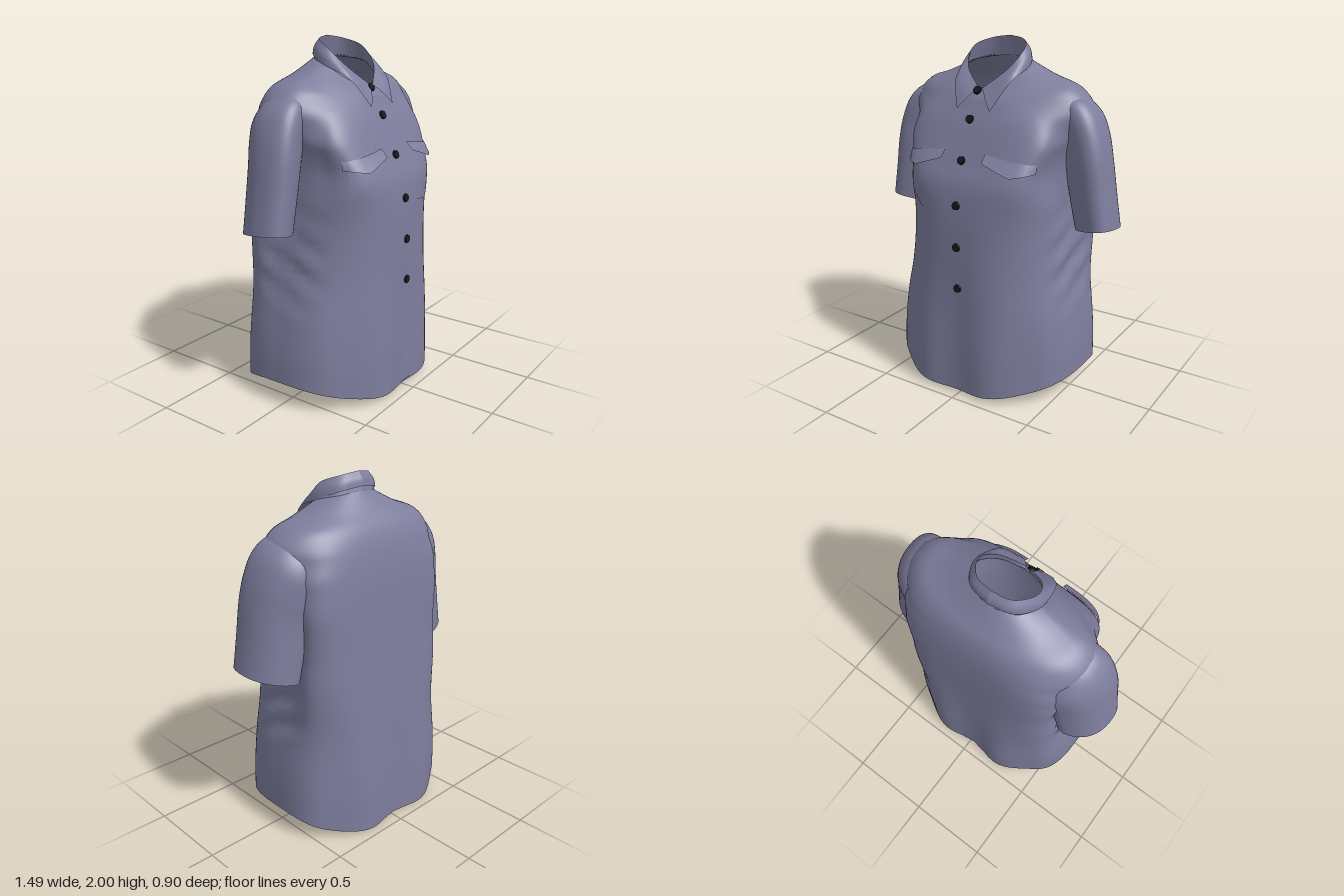
import * as THREE from 'three';

const V = (x, y, z) => new THREE.Vector3(x, y, z);
const { lerp, smoothstep } = THREE.MathUtils;
const fabric = new THREE.MeshStandardMaterial({ color: 0x7d7d9d, side: THREE.DoubleSide });
fabric.name = 'slate fabric';
const buttonBlack = new THREE.MeshStandardMaterial({ color: 0x18181c });
buttonBlack.name = 'button black';

// Smooth sheet through rows of points; closed rows join end to start
function loft(rows, steps, closed, adjust) {
  const n = rows[0].length, pos = [], idx = [];
  const columns = rows[0].map((_, j) => new THREE.CatmullRomCurve3(rows.map(r => r[j])));
  for (let i = 0; i <= steps; i++) {
    for (const column of columns) {
      const p = column.getPoint(i / steps);
      if (adjust) adjust(p);
      pos.push(p.x, p.y, p.z);
    }
  }
  for (let i = 0; i < steps; i++) {
    for (let j = 0; j < (closed ? n : n - 1); j++) {
      const a = i * n + j, b = i * n + (j + 1) % n;
      idx.push(a, a + n, b, b, a + n, b + n);
    }
  }
  const g = new THREE.BufferGeometry();
  g.setAttribute('position', new THREE.Float32BufferAttribute(pos, 3));
  g.setIndex(idx);
  g.computeVertexNormals();
  return g;
}

function part(geometry, name, material = fabric) {
  const m = new THREE.Mesh(geometry, material);
  m.name = name;
  return m;
}

const power = (v, e) => Math.sign(v) * Math.abs(v) ** e;

// Torso rings: half width, front z, back z, y at side, front and back,
// squareness of front and back, curve of the y change
const torsoRings = [
  [.585, .45, -.437, .135, .02, 0, 2.4, 3, 2.5],
  [.577, .447, -.43, .3, .25, .25, 2.4, 3.1, 2],
  [.55, .44, -.415, .5, .48, .48, 2.4, 3.3, 2],
  [.505, .435, -.40, .7, .7, .7, 2.4, 3.7, 1],
  [.475, .43, -.385, .9, .9, .9, 2.5, 4.2, 1],
  [.455, .42, -.372, 1.1, 1.1, 1.1, 2.9, 4.6, 1],
  [.462, .40, -.362, 1.27, 1.25, 1.27, 4, 4.8, 1.2],
  [.485, .36, -.352, 1.42, 1.35, 1.4, 4.6, 4.6, 1.2],
  [.525, .32, -.337, 1.54, 1.45, 1.53, 4, 4.2, 1.2],
  [.555, .275, -.315, 1.65, 1.56, 1.64, 3.4, 3.6, 1.2],
  [.47, .24, -.28, 1.75, 1.63, 1.73, 2.8, 3, 1.2],
  [.33, .21, -.22, 1.80, 1.69, 1.805, 2.4, 2.4, 1.2],
  [.19, .165, -.147, 1.86, 1.74, 1.895, 2, 2, 1.2],
];

function torsoRing([w, zf, zb, ySide, yFront, yBack, nFront, nBack, bend]) {
  return Array.from({ length: 96 }, (_, j) => {
    const t = j / 96 * Math.PI * 2, front = Math.sin(t) > 0;
    const e = 2 / (front ? nFront : nBack);
    const c = power(Math.cos(t), e), s = Math.abs(Math.sin(t)) ** e;
    return V(c * w, lerp(ySide, front ? yFront : yBack, s ** bend), s * (front ? zf : zb));
  });
}

// Hanging folds, gathers under the arms, and the cut of chest and back
function drape(p) {
  const low = 1 - smoothstep(p.y, .1, 1.2);
  const flat = smoothstep(Math.abs(p.z), .2, .38);
  p.z += (p.z < 0 ? .02 : -.015) * Math.cos(p.x * 14) * low * flat;
  const gather = Math.exp(-(((p.y - .8) / .22) ** 2)) * (1 - smoothstep(Math.abs(p.z), .1, .25));
  p.x += Math.sign(p.x) * gather * .012 * Math.sin(p.y * 38 + p.z * 16);
  const belowYoke = 1 - smoothstep(p.y, 1.66, 1.78);
  const chestCut = .1 * smoothstep(p.y, 1.1, 1.35) + .1 * smoothstep(p.y, 1.45, 1.6);
  const backCut = .1 * smoothstep(p.y, 1.5, 1.62);
  const backEase = .11 * smoothstep(p.y, .5, 1) * (1 - smoothstep(p.y, 1.3, 1.55));
  p.x *= 1 - chestCut * belowYoke * smoothstep(p.z, 0, .2)
    + (backEase - backCut * belowYoke) * smoothstep(-p.z, .05, .28);
  p.x -= .02 * low;
}

// Sleeve rings: outer x, y, inner x, y, centre z, half depth
const sleeveRings = [
  [.745, 1.02, .48, .965, -.055, .155],
  [.715, 1.2, .45, 1.1, -.055, .157],
  [.683, 1.4, .42, 1.25, -.055, .16],
  [.65, 1.53, .40, 1.33, -.065, .165],
  [.602, 1.63, .38, 1.4, -.075, .168],
  [.54, 1.69, .36, 1.45, -.08, .16],
  [.46, 1.72, .34, 1.5, -.08, .14],
];

function sleeveRing([ox, oy, ix, iy, zc, hz], side) {
  return Array.from({ length: 48 }, (_, j) => {
    const t = j / 48 * Math.PI * 2;
    const c = power(Math.cos(t), .85), s = power(Math.sin(t), .85), k = .5 + .5 * c;
    return V(side * lerp(ix, ox, k), lerp(iy, oy, k) + s * .015, zc + s * hz + c * .05);
  });
}

// Collar lines from centre back to one front end
const foldLine = [V(0, 2, -.12), V(.1, 1.985, -.095), V(.165, 1.945, 0), V(.13, 1.845, .11), V(.012, 1.74, .185)];
const leafEdge = [V(0, 1.925, -.158), V(.13, 1.905, -.12), V(.2, 1.855, 0), V(.18, 1.785, .16), V(.105, 1.63, .26)];
const standBase = [-90, -45, 0, 45, 86].map(deg => {
  const a = deg * Math.PI / 180, s = Math.sin(a);
  return V(Math.cos(a) * .195, lerp(1.86, s > 0 ? 1.74 : 1.895, Math.abs(s) ** 1.2) - .008, s * (s > 0 ? .17 : .152));
});

function collarRow(points, side) {
  const mirrored = points.map(p => V(p.x * side, p.y, p.z));
  return new THREE.CatmullRomCurve3(mirrored).getPoints(24);
}

export function createModel() {
  const shirt = new THREE.Group();
  shirt.name = 'shirt';

  const torso = part(loft(torsoRings.map(torsoRing), 60, true, drape), 'torso');
  shirt.add(torso);

  // Finds the depth of the chest at a given x and y
  const ray = new THREE.Raycaster();
  const chestZ = (x, y) => {
    ray.set(V(x, y, 2), V(0, 0, -1));
    const hit = ray.intersectObject(torso)[0];
    return hit ? hit.point.z : .17;
  };

  // Thin panel lying on the chest; lift changes from top to bottom
  function panel(name, left, right, top, bottom, liftTop, liftBottom, cols, rows) {
    const grid = [];
    for (let i = 0; i <= rows; i++) {
      const v = i / rows, row = [];
      for (let j = 0; j <= cols; j++) {
        const u = j / cols, y = lerp(bottom(u), top(u), v);
        const x = lerp(left(y), right(y), u);
        row.push(V(x, y, chestZ(x, y) + lerp(liftBottom, liftTop, v)));
      }
      grid.push(row);
    }
    shirt.add(part(loft(grid, rows, false), name));
  }

  // Front placket, its free edge drifting sideways near the hem
  panel('placket', () => -.05, y => .03 + .055 * Math.max(0, 1 - y / .9),
    () => 1.68, () => .035, .002, .005, 4, 40);

  for (const side of [1, -1]) {
    const label = side > 0 ? 'left' : 'right';

    shirt.add(part(loft(sleeveRings.map(r => sleeveRing(r, side)), 36, true), label + 'Sleeve'));

    // Collar leaf, rounded over the fold, and the stand inside it
    const fold = collarRow(foldLine, side), edge = collarRow(leafEdge, side);
    const middle = fold.map((p, i) => {
      const m = p.clone().lerp(edge[i], .5);
      return m.add(V(m.x, 0, m.z).normalize().multiplyScalar(.01));
    });
    shirt.add(part(loft([edge, middle, fold], 8, false), label + 'CollarLeaf'));
    shirt.add(part(loft([collarRow(standBase, side), fold], 4, false), label + 'CollarStand'));

    // Chest pocket with a pointed flap
    panel(label + 'Pocket', () => side * .125, () => side * .385,
      u => 1.39 - .02 * u, u => u < .5 ? 1.1 - .03 * u : 1.085 + .2 * (u - .5), .004, .004, 10, 10);
    panel(label + 'PocketFlap', () => side * .13, () => side * .41,
      u => 1.42 - .035 * u, u => u < .62 ? 1.378 - .093 * u : 1.32 + .05 * (u - .62), .006, .03, 16, 5);
  }

  // Buttons follow the slope of the chest
  const buttonShape = new THREE.CylinderGeometry(.022, .024, .014, 20);
  const buttons = [[-.015, 1.72], [-.014, 1.58], [-.012, 1.37], [-.006, 1.135], [-.001, .9], [.004, .66]];
  buttons.forEach(([x, y], i) => {
    const z = chestZ(x, y);
    const normal = V(0, chestZ(x, y - .03) - z, .03).normalize();
    const b = part(buttonShape, 'button' + (i + 1), buttonBlack);
    b.quaternion.setFromUnitVectors(V(0, 1, 0), normal);
    b.position.set(x, y, z).addScaledVector(normal, i ? .006 : .014);
    shirt.add(b);
  });

  return shirt;
}
